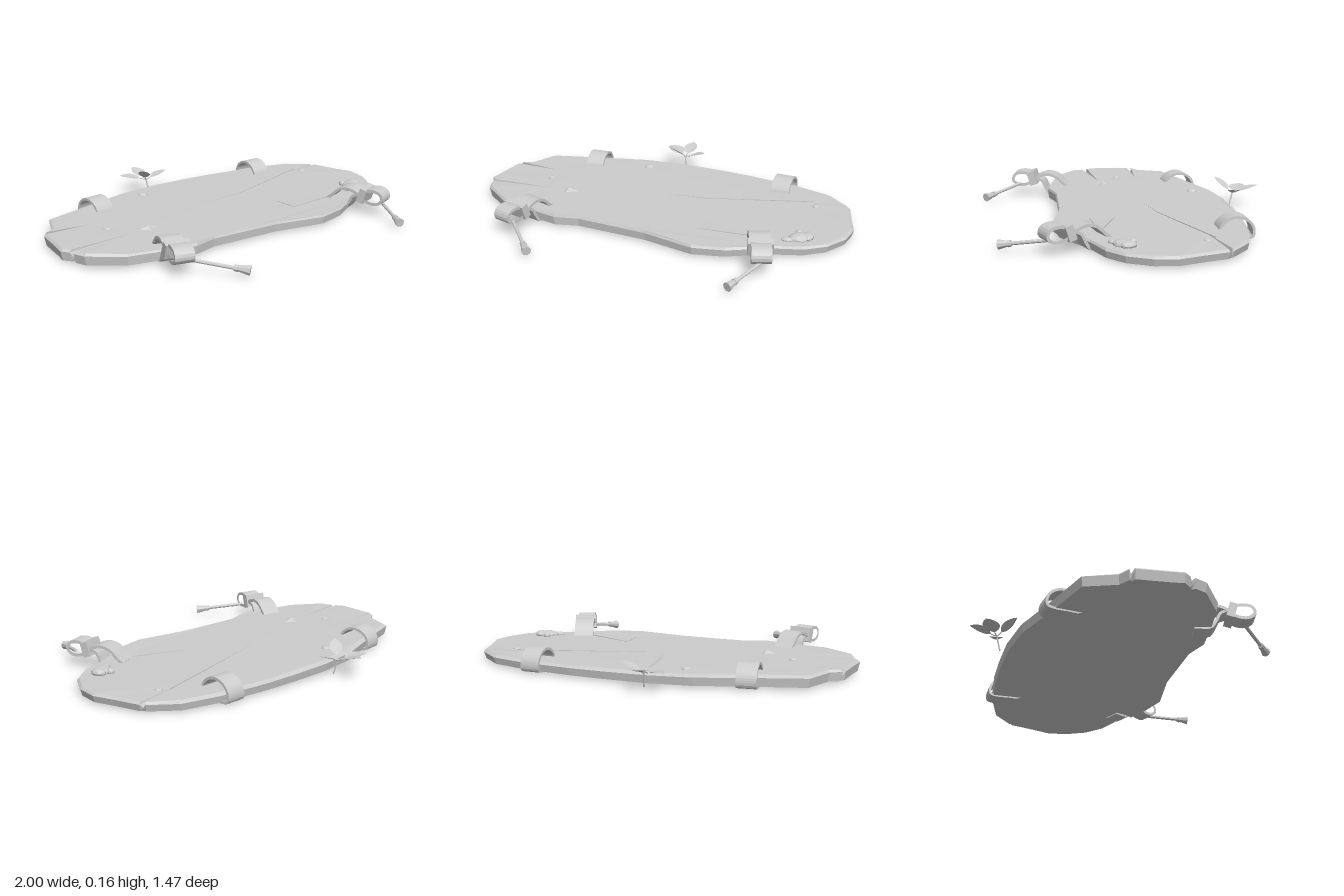
import * as THREE from 'three';

const stone = new THREE.MeshStandardMaterial({ color: 0xcccccc, flatShading: true });
stone.name = 'plain grey';
const smooth = new THREE.MeshStandardMaterial({ color: 0xcccccc, side: THREE.DoubleSide });
smooth.name = 'plain grey two-sided';

// Outline from the left end round the back; four-value entries are crack tips: top x, z, rim x, z
const OUTLINE = [
  [-1, .02], [-.985, -.05], [-.96, -.2], [-.7, -.19, -.94, -.21], [-.945, -.222], [-.89, -.25], [-.82, -.4],
  [-.56, -.46], [-.29, -.53], [-.06, -.545], [.165, -.53], [.35, -.51], [.62, -.46],
  [.81, -.395], [.925, -.285], [.66, -.24, .925, -.275], [.94, -.262], [.97, -.13], [1, -.02],
  [.98, .09], [.91, .2], [.81, .27], [.65, .315], [.46, .41], [.3, .44], [.165, .405],
  [.03, .37], [-.18, .35], [-.34, .335], [-.465, .36], [-.66, .31], [-.8, .27], [-.95, .145],
  [-.97, .085], [-.62, .05, -.955, .07], [-.975, .055],
].reverse();

const topY = (x) => .059 - .007 * x;

function add(group, name, geometry, material = stone) {
  const mesh = new THREE.Mesh(geometry, material);
  mesh.name = name;
  group.add(mesh);
  return mesh;
}

// Slab made from three stacked loops, with capped top and bottom
function boardGeometry() {
  const n = OUTLINE.length, pos = [], index = [];
  const rim = OUTLINE.map((p) => (p.length > 2 ? [p[2], p[3]] : p));
  const top = OUTLINE.map((p) => {
    if (p.length > 2) return p;
    const back = p[1] < -.35 ? .955 : .985;
    return [p[0] * .988, p[1] * back];
  });
  rim.forEach(([x, z]) => pos.push(x * .99, .008, z * .985));
  rim.forEach(([x, z], i) => pos.push(x, OUTLINE[i].length > 2 ? .026 : topY(x) - .011, z));
  top.forEach(([x, z], i) => pos.push(x, topY(x) + .0015 * Math.sin(i * 2.3), z));
  for (let r = 0; r < 2; r++) {
    for (let i = 0; i < n; i++) {
      const j = (i + 1) % n, a = r * n + i, b = r * n + j;
      index.push(a, b, b + n, a, b + n, a + n);
    }
  }
  const cap = (ring, offset, up) => {
    const pts = ring.map(([x, z]) => new THREE.Vector2(x, -z));
    for (const [a, b, c] of THREE.ShapeUtils.triangulateShape(pts, [])) {
      const ccw = THREE.ShapeUtils.area([pts[a], pts[b], pts[c]]) > 0;
      if (ccw === up) index.push(a + offset, b + offset, c + offset);
      else index.push(a + offset, c + offset, b + offset);
    }
  };
  cap(rim, 0, false);
  cap(top, 2 * n, true);
  const g = new THREE.BufferGeometry();
  g.setAttribute('position', new THREE.Float32BufferAttribute(pos, 3));
  g.setIndex(index);
  const flat = g.toNonIndexed();
  flat.computeVertexNormals();
  return flat;
}

// Band of leather following a path of [z, y] points
function bandGeometry(points, width, thick, closed = false) {
  const curve = new THREE.CatmullRomCurve3(points.map(([u, y]) => new THREE.Vector3(u, y, 0)), closed, 'centripetal');
  const steps = points.length * 3, sides = [[], []];
  for (let i = 0; i < steps + (closed ? 0 : 1); i++) {
    const p = curve.getPoint(i / steps), t = curve.getTangent(i / steps);
    [1, -1].forEach((s, k) => sides[k].push(new THREE.Vector2(p.x - s * t.y * thick / 2, p.y + s * t.x * thick / 2)));
  }
  let shape;
  if (closed) {
    const big = Math.abs(THREE.ShapeUtils.area(sides[0])) > Math.abs(THREE.ShapeUtils.area(sides[1])) ? 0 : 1;
    shape = new THREE.Shape(sides[big]);
    shape.holes.push(new THREE.Path(sides[1 - big]));
  } else shape = new THREE.Shape([...sides[0], ...sides[1].reverse()]);
  const g = new THREE.ExtrudeGeometry(shape, { depth: width, bevelEnabled: false });
  g.translate(0, 0, -width / 2);
  return g.rotateY(-Math.PI / 2);
}

// Leaf blade between two points, folded along its middle
function leafGeometry(base, tip, width) {
  const a = new THREE.Vector3(...base), b = new THREE.Vector3(...tip);
  const dir = b.clone().sub(a);
  const side = new THREE.Vector3(-dir.z, 0, dir.x).normalize();
  const up = new THREE.Vector3().crossVectors(side, dir).normalize();
  if (up.y < 0) up.negate();
  const pos = [], index = [], N = 8;
  for (let i = 0; i <= N; i++) {
    const t = i / N, w = width / 2 * Math.pow(Math.sin(Math.PI * Math.pow(t, .8)), .8) || 0;
    for (const s of [-1, 0, 1]) {
      const p = a.clone().addScaledVector(dir, t).addScaledVector(side, s * w).addScaledVector(up, s ? w * .2 : 0);
      pos.push(p.x, p.y, p.z);
    }
    if (i < N) for (const k of [0, 1]) {
      const q = i * 3 + k;
      index.push(q, q + 1, q + 4, q, q + 4, q + 3);
    }
  }
  const g = new THREE.BufferGeometry();
  g.setAttribute('position', new THREE.Float32BufferAttribute(pos, 3));
  g.setIndex(index);
  g.computeVertexNormals();
  return g;
}

// Tapered rod between two points
function rod(group, name, from, to, r0, r1, sides = 8) {
  const a = new THREE.Vector3(...from), b = new THREE.Vector3(...to);
  const mesh = add(group, name, new THREE.CylinderGeometry(r1, r0, a.distanceTo(b), sides));
  mesh.position.copy(a).lerp(b, .5);
  mesh.quaternion.setFromUnitVectors(new THREE.Vector3(0, 1, 0), b.clone().sub(a).normalize());
}

function lump(group, name, x, y, z, sx, sy, sz, turn = 0) {
  const m = add(group, name, new THREE.IcosahedronGeometry(1, 1));
  m.position.set(x, y, z);
  m.scale.set(sx, sy, sz);
  m.rotation.y = turn;
}

// Thin raised wood splinter on the top face
function splinter(group, pts) {
  const shape = new THREE.Shape(pts.map(([x, z]) => new THREE.Vector2(x, -z)));
  const g = new THREE.ExtrudeGeometry(shape, { depth: .004, bevelEnabled: false }).rotateX(-Math.PI / 2);
  add(group, 'splinter', g).position.y = topY(pts[0][0]) - .002;
}

export function createModel() {
  const model = new THREE.Group();
  model.name = 'woodenBoard';
  add(model, 'board', boardGeometry());
  splinter(model, [[0, -.09], [.2, -.105], [.75, -.255]]);
  splinter(model, [[.265, .12], [.265, .25], [.52, .24]]);

  // Back straps looped round the edge
  const loop = [[-.325, .012], [-.325, .055], [-.345, .085], [-.375, .104], [-.41, .11], [-.45, .1],
    [-.48, .075], [-.492, .045], [-.488, .015], [-.46, .007], [-.39, .007]];
  for (const [x, turn] of [[-.535, .05], [.555, -.06]]) {
    const strap = add(model, 'backStrap', bandGeometry(loop, .1, .013, true));
    strap.position.set(x - .41 * Math.sin(-turn), 0, 0);
    strap.rotation.y = turn;
  }

  // Front straps with a knot, cuff and trailing cord
  const over = [[0, .05], [.03, .075], [.07, .11], [.12, .122], [.17, .108], [.2, .085]];
  const under = [[.19, .1], [.15, .085], [.125, .04], [.1, .008], [.02, .007]];
  const knot = [[.2, .09], [.225, .122], [.265, .13], [.305, .118], [.315, .085], [.285, .062], [.235, .065]];
  for (const s of [-1, 1]) {
    const strap = new THREE.Group();
    strap.name = s < 0 ? 'rightFrontStrap' : 'leftFrontStrap';
    strap.position.set(s * .57, 0, .225);
    strap.rotation.y = s * .31;
    add(strap, 'strapOver', bandGeometry(over, .105, .015));
    add(strap, 'strapUnder', bandGeometry(under, .095, .014));
    add(strap, 'strapKnot', bandGeometry(knot, .095, .016, true));
    const cuff = add(strap, 'cuff', new THREE.BoxGeometry(.12, .075, .04));
    cuff.position.set(0, .098, .205);
    cuff.rotation.x = .3;
    model.add(strap);
  }
  for (const [a, b] of [[[-.62, .065, .5], [-.44, .03, .71]], [[.66, .065, .51], [.56, .03, .72]]]) {
    const at = (t) => a.map((v, i) => v + (b[i] - v) * t);
    rod(model, 'cord', a, at(.85), .009, .009);
    rod(model, 'tasselKnot', at(.73), at(.8), .015, .017);
    rod(model, 'tassel', at(.79), b, .013, .024);
  }

  // Nail heads
  for (const [x, z, r] of [[-.23, -.415, .028], [-.68, -.075, .02], [.77, -.21, .02]]) {
    lump(model, 'nailHead', x, topY(x), z, r, r * .5, r);
  }

  // Four-pointed star boss
  const star = new THREE.ConeGeometry(1, 1, 8);
  const p = star.attributes.position;
  for (let i = 0; i < p.count; i++) {
    const x = p.getX(i), z = p.getZ(i);
    const k = Math.abs(x * z) > .1 ? .5 : 1;
    p.setXYZ(i, x * k, p.getY(i), z * k);
  }
  star.computeVertexNormals();
  const boss = add(model, 'starBoss', star);
  boss.scale.set(.065, .02, .048);
  boss.position.set(-.52, topY(-.52) + .008, .045);
  boss.rotation.y = -.1;

  // Lumpy ornament near the front left edge
  lump(model, 'ornamentBody', .77, .056, .18, .06, .025, .045, .5);
  lump(model, 'ornamentTail', .715, .056, .22, .03, .013, .02, .2);
  lump(model, 'ornamentHead', .805, .062, .165, .03, .02, .04, .2);
  lump(model, 'ornamentEar', .755, .06, .135, .018, .018, .02);

  // Sprig behind the board
  const crown = [-.075, .075, -.6];
  rod(model, 'stem', [-.07, 0, -.58], crown, .004, .004, 6);
  for (const [tip, width] of [[[-.07, .115, -.74], .075], [[-.2, .1, -.685], .085],
    [[.045, .115, -.58], .065], [[-.155, .155, -.52], .065]]) {
    const base = crown.map((v, i) => v + (tip[i] - v) * .22);
    rod(model, 'leafStalk', crown, base, .003, .003, 5);
    add(model, 'leaf', leafGeometry(base, tip, width), smooth);
  }
  return model;
}
